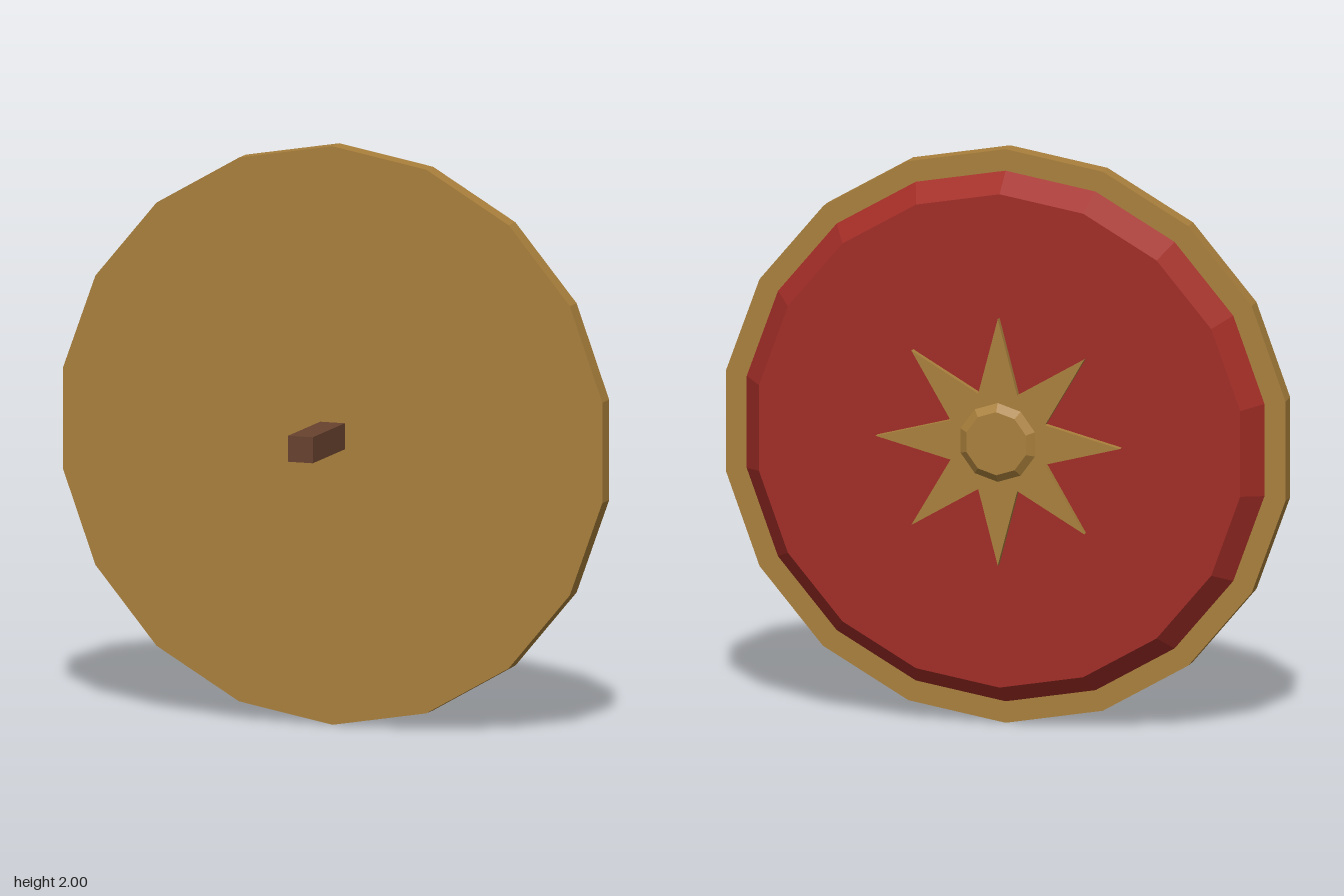
import * as THREE from 'three';

const CENTER_Y = 1;

export function createModel() {
  const group = new THREE.Group();
  group.name = 'roundShield';

  const material = (name, color) => {
    const m = new THREE.MeshStandardMaterial({ color });
    m.name = name;
    return m;
  };
  const gold = material('gold', 0xaa803c);
  const red = material('red', 0xa22d26);
  const wood = material('wood', 0x68432f);

  const add = (name, geometry, mat) => {
    const flat = geometry.index ? geometry.toNonIndexed() : geometry;
    flat.computeVertexNormals();
    const mesh = new THREE.Mesh(flat, mat);
    mesh.name = name;
    mesh.position.y = CENTER_Y;
    group.add(mesh);
  };

  // Faceted disc lying along z, with one corner pointing straight up
  const disc = (rFront, rBack, sides, zFront, zBack) =>
    new THREE.CylinderGeometry(rFront, rBack, zFront - zBack, sides)
      .rotateX(Math.PI / 2)
      .rotateZ(Math.PI)
      .translate(0, 0, (zFront + zBack) / 2);

  // Backing plate and bevelled face
  add('rim', disc(1, 1, 18, -0.055, -0.12), gold);
  add('face', disc(0.925, 0.86, 18, -0.12, -0.203), red);

  // Eight-pointed star
  const points = [];
  for (let i = 0; i < 16; i++) {
    const r = i % 2 ? 0.18 : 0.43;
    const a = (i * Math.PI) / 8;
    points.push(new THREE.Vector2(r * Math.cos(a), r * Math.sin(a)));
  }
  const star = new THREE.ExtrudeGeometry(new THREE.Shape(points), { depth: 0.025, bevelEnabled: false });
  star.translate(0, 0, -0.228);
  add('star', star, gold);

  // Central boss
  add('boss', disc(0.14, 0.11, 10, -0.226, -0.25), gold);

  // Handle
  add('handle', new THREE.BoxGeometry(0.09, 0.09, 0.305).translate(0, 0, 0.0975), wood);

  return group;
}
